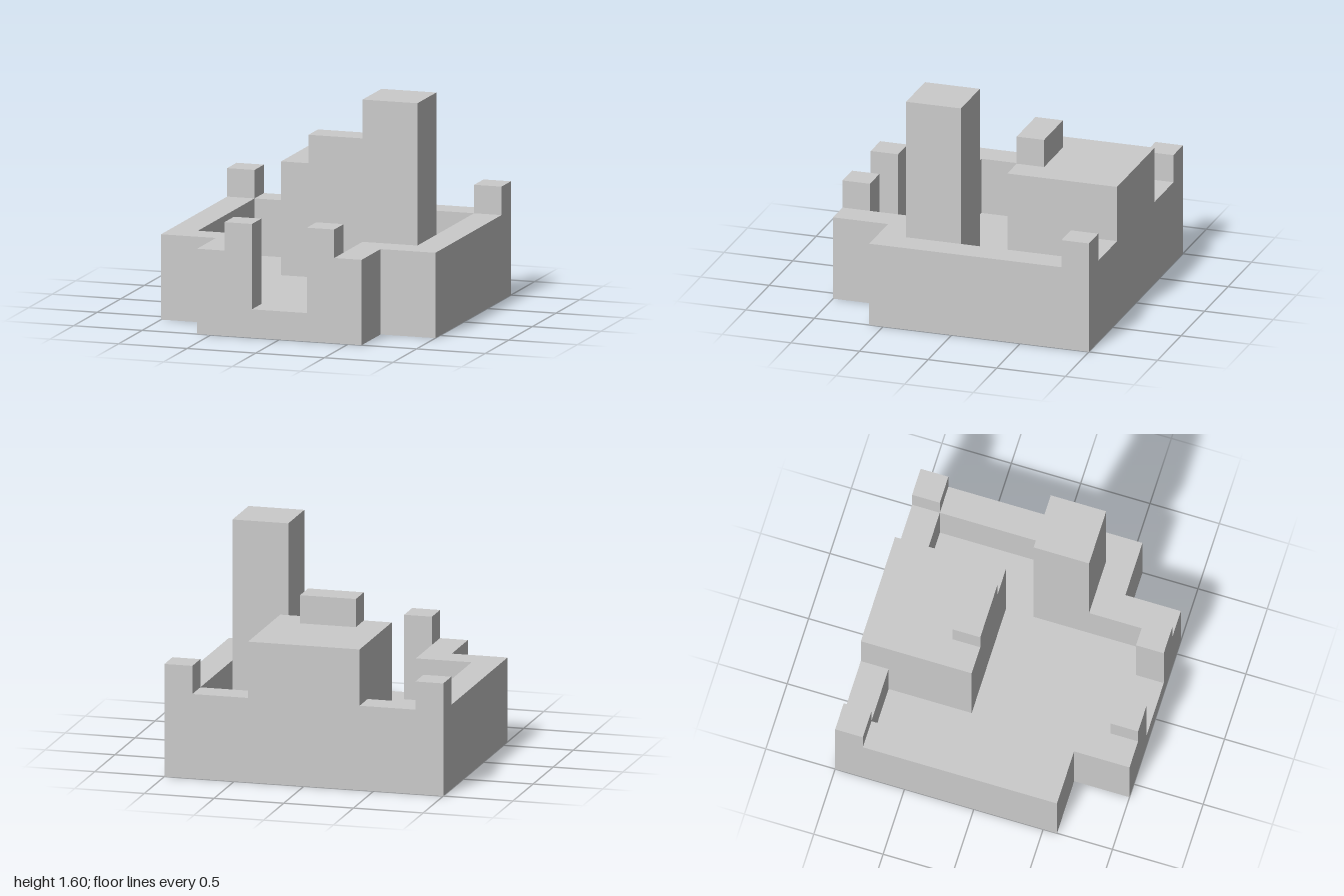
import * as THREE from 'three';

const material = new THREE.MeshStandardMaterial({ color: 0xcccccc, flatShading: true });

export function createModel() {
  const castle = new THREE.Group();
  castle.name = 'castle';

  // Box given by its extents along each axis
  function block(name, [x0, x1], [y0, y1], [z0, z1]) {
    const mesh = new THREE.Mesh(new THREE.BoxGeometry(x1 - x0, y1 - y0, z1 - z0), material);
    mesh.position.set((x0 + x1) / 2, (y0 + y1) / 2, (z0 + z1) / 2);
    mesh.name = name;
    castle.add(mesh);
  }

  // Floor plan of [x, z] corners raised from y0 to y1
  function raisedPlan(name, corners, y0, y1) {
    const shape = new THREE.Shape(corners.map(([x, z]) => new THREE.Vector2(x, -z)));
    const geometry = new THREE.ExtrudeGeometry(shape, { depth: y1 - y0, bevelEnabled: false });
    geometry.rotateX(-Math.PI / 2);
    const mesh = new THREE.Mesh(geometry, material);
    mesh.position.y = y0;
    mesh.name = name;
    castle.add(mesh);
  }

  const mirrored = (half) => [...half, ...half.map(([x, z]) => [-x, z]).reverse()];

  // Ground slab and the wall around the courtyard, open at the gate
  const outer = [[0.6, 1], [0.6, 0.6], [1, 0.6], [1, -1]];
  const inner = [[-0.8, -0.8], [-0.8, 0.4], [-0.4, 0.4], [-0.4, 1]];
  raisedPlan('groundSlab', mirrored(outer), 0, 0.2);
  const innerRight = inner.map(([x, z]) => [-x, z]).reverse();
  raisedPlan('curtainWall', [...mirrored(outer), ...[...inner].reverse(), ...innerRight.reverse()], 0.2, 0.6);

  // Gate posts and rear corner turrets
  for (const [side, s] of [['left', 1], ['right', -1]]) {
    const span = (a, b) => (s > 0 ? [a, b] : [-b, -a]);
    block(side + 'GatePost', span(0.2, 0.4), [0.2, 0.8], [0.8, 1]);
    block(side + 'CornerTurret', span(0.8, 1), [0.6, 0.8], [-1, -0.8]);
  }

  // Keep, set into the back wall, with a raised block on its front edge
  block('keepBase', [-0.4, 0.4], [0.2, 0.6], [-0.8, -0.2]);
  block('keepUpper', [-0.4, 0.4], [0.6, 1], [-1, -0.2]);
  block('keepParapet', [-0.2, 0.2], [1, 1.2], [-0.4, -0.2]);

  // Tall tower in the front corner of the courtyard
  block('tower', [0.4, 0.8], [0.2, 1.6], [0, 0.4]);

  return castle;
}
